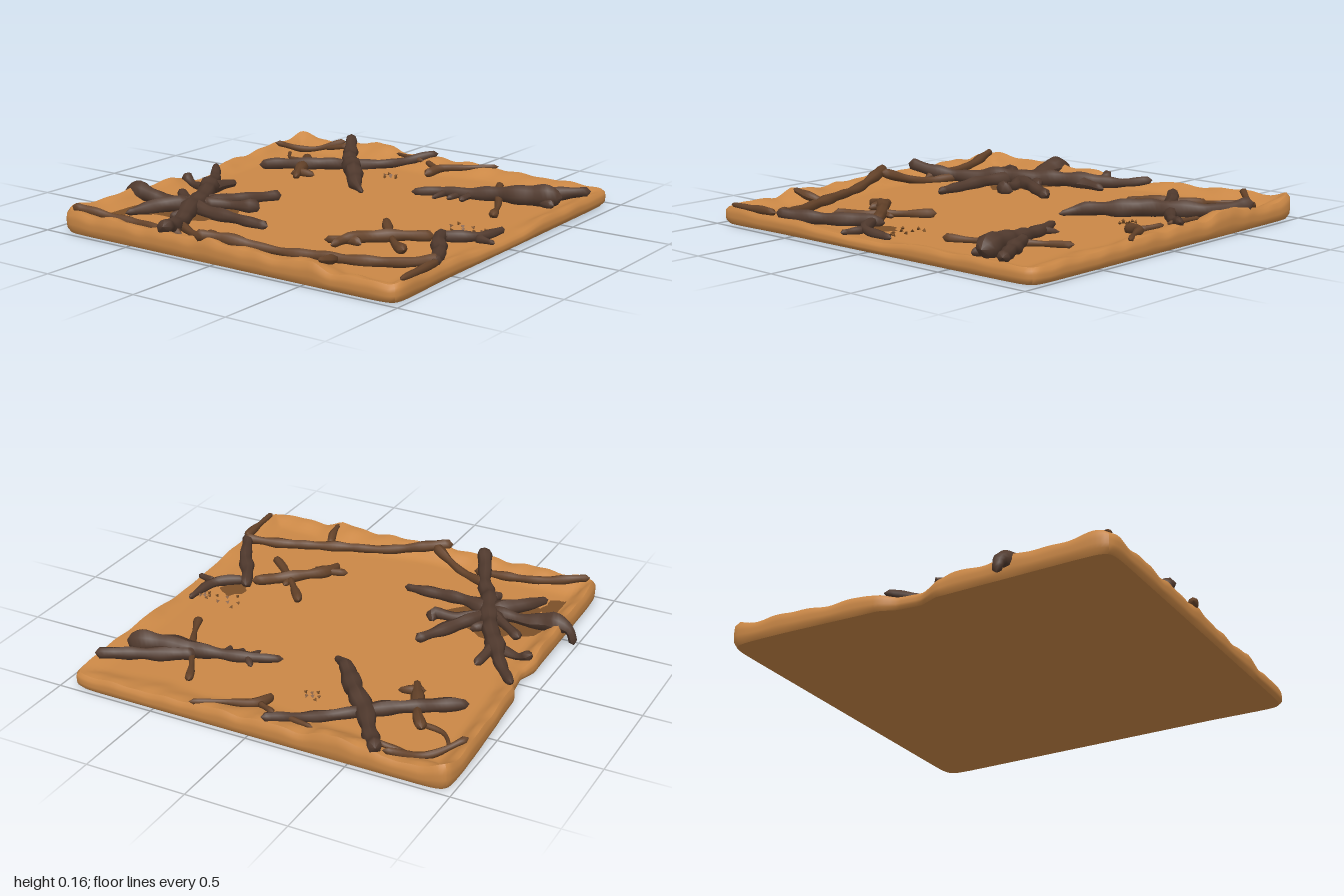
import * as THREE from 'three';

const FLOOR = 0.074;

// Piecewise linear lookup through [position, value] points
function lerpTable(points, t) {
  if (t <= points[0][0]) return points[0][1];
  for (let i = 1; i < points.length; i++) {
    const [a, va] = points[i - 1], [b, vb] = points[i];
    if (t <= b) return va + (vb - va) * (t - a) / (b - a);
  }
  return points[points.length - 1][1];
}

// Outline of the slab and rim height along each side
const backZ = [[-1, -0.92], [-0.12, -0.93], [-0.02, -0.895], [0.1, -0.91], [0.18, -0.945], [0.7, -0.98], [1, -0.99]];
const frontZ = [[-1, 0.99], [-0.6, 0.97], [1, 0.945]];
const leftRim = [[-0.95, 0.13], [-0.3, 0.125], [0, 0.135], [0.3, 0.115], [0.55, 0.13], [0.65, 0.105], [1, 0.11]];
const rightRim = [[-1, 0.15], [-0.85, 0.12], [-0.66, 0.11], [-0.6, 0.13], [-0.45, 0.152], [-0.3, 0.12], [-0.05, 0.12], [0.3, 0.115], [0.4, 0.105], [1, 0.1]];
const backRim = [[-1, 0.135], [-0.2, 0.125], [-0.05, 0.085], [0.1, 0.09], [0.25, 0.115], [0.8, 0.125], [1, 0.15]];
const frontRim = [[-1, 0.115], [-0.5, 0.1], [-0.1, 0.078], [0.1, 0.08], [0.3, 0.1], [0.7, 0.1], [1, 0.105]];
const leftWidth = [[-0.9, 0.13], [0, 0.1], [0.3, 0.17], [0.55, 0.2], [0.65, 0.1], [1, 0.08]];
const rightWidth = [[-1, 0.1], [-0.45, 0.16], [0, 0.2], [0.3, 0.12], [0.5, 0.17], [1, 0.07]];

function groundHeight(x, z) {
  const bump = (d, width, top) => {
    const t = Math.min(1, Math.max(0, d / width));
    return (top - FLOOR) * (1 - t * t * (3 - 2 * t));
  };
  const wrinkle = 1 + 0.12 * Math.sin(x * 17 + z * 23) + 0.08 * Math.sin(z * 41 - x * 29);
  return FLOOR + wrinkle * Math.max(
    bump(x + 0.96, lerpTable(leftWidth, z), lerpTable(leftRim, z)),
    bump(0.96 - x, lerpTable(rightWidth, z), lerpTable(rightRim, z)),
    bump(z - lerpTable(backZ, x) - 0.02, 0.09, lerpTable(backRim, x)),
    bump(lerpTable(frontZ, x) - z - 0.02, 0.09, lerpTable(frontRim, x)));
}

// Slab: a subdivided box fitted to the outline, its top lifted into rims
function makeSlab(material) {
  const geo = new THREE.BoxGeometry(2, 1, 2, 80, 5, 80);
  const p = geo.attributes.position;
  for (let i = 0; i < p.count; i++) {
    const u = p.getX(i), h = p.getY(i) + 0.5, v = p.getZ(i);
    const round = 1 - 0.022 * Math.pow(Math.abs(u * v), 24);
    const inset = 1 - 0.014 * Math.pow(Math.abs(h * 2 - 1), 4);
    const x = u * 0.993 * round * inset;
    const zb = lerpTable(backZ, u), zf = lerpTable(frontZ, u);
    const z = (zb + zf) / 2 + v * (zf - zb) / 2 * round * inset;
    p.setXYZ(i, x, 0.025 + h * (groundHeight(x, z) - 0.025), z);
  }
  geo.computeVertexNormals();
  const mesh = new THREE.Mesh(geo, material);
  mesh.name = 'groundSlab';
  return mesh;
}

// Knobbly tapered branch. Points are [x, z, radius, optional centre height]
function makeBranch(points, material, name, seed) {
  const centres = points.map(([x, z, r, y]) =>
    new THREE.Vector3(x, y ?? groundHeight(x, z) + r * 0.75, z));
  const curve = new THREE.CatmullRomCurve3(centres, false, 'centripetal');
  const length = curve.getLength();
  const rings = Math.max(8, Math.round(length * 45)), sides = 8;
  const geo = new THREE.TubeGeometry(curve, rings, 1, sides, false);
  const p = geo.attributes.position;
  const stops = [[0, points[0][2]]];
  let run = 0;
  for (let i = 1; i < points.length; i++) {
    run += centres[i].distanceTo(centres[i - 1]);
    stops.push([run, points[i][2]]);
  }
  const centre = new THREE.Vector3(), offset = new THREE.Vector3();
  for (let i = 0; i <= rings; i++) {
    const t = i / rings;
    curve.getPointAt(t, centre);
    const base = lerpTable(stops, t * run);
    const end = Math.min(t, 1 - t) * length / (base * 1.2);
    const cap = end >= 1 ? 1 : Math.sqrt(Math.max(0, 1 - (1 - end) ** 2));
    for (let j = 0; j <= sides; j++) {
      const k = i * (sides + 1) + j, a = (j % sides) / sides * Math.PI * 2;
      const knob = 1 + 0.1 * Math.sin(i * 0.9 + seed * 2.3) + 0.1 * Math.sin(a * 2 + i * 0.5 + seed);
      offset.fromBufferAttribute(p, k).sub(centre).multiplyScalar(base * cap * knob);
      p.setXYZ(k, centre.x + offset.x, centre.y + offset.y, centre.z + offset.z);
    }
  }
  geo.computeVertexNormals();
  const mesh = new THREE.Mesh(geo, material);
  mesh.name = name;
  return mesh;
}

// Thin irregular stain lying on the floor
function makePatch(x, z, rx, rz, material) {
  const outline = [];
  for (let i = 0; i < 28; i++) {
    const a = i / 28 * Math.PI * 2, k = 1 + 0.12 * Math.sin(a * 5 + 1) + 0.07 * Math.sin(a * 8);
    outline.push(new THREE.Vector2(Math.cos(a) * rx * k, Math.sin(a) * rz * k));
  }
  const mesh = new THREE.Mesh(new THREE.ShapeGeometry(new THREE.Shape(outline)), material);
  mesh.rotation.x = -Math.PI / 2;
  mesh.position.set(x, FLOOR + 0.004, z);
  mesh.name = 'soilPatch';
  return mesh;
}

export function createModel() {
  const flat = (name, color) => new THREE.MeshStandardMaterial({ name, color });
  const clay = flat('orange clay', 0xcb8846);
  const bark = flat('dark bark', 0x523b2f);
  const twig = flat('brown twig', 0x644229);
  const soil = flat('brown soil', 0x7c5028);

  const model = new THREE.Group();
  model.name = 'branchCoveredGround';
  model.add(makeSlab(clay));

  const clusters = {
    starBranches: [bark, [
      [[-0.47, -0.985, 0.02, 0.022], [-0.47, -0.955, 0.03, 0.1], [-0.475, -0.87, 0.055, 0.115], [-0.47, -0.74, 0.032], [-0.47, -0.54, 0.035]],
      [[-0.47, -0.54, 0.038], [-0.52, -0.4, 0.034], [-0.53, -0.2, 0.028], [-0.53, -0.04, 0.022]],
      [[-0.99, -0.28, 0.035], [-0.75, -0.39, 0.034], [-0.53, -0.51, 0.045], [-0.36, -0.58, 0.042], [-0.16, -0.7, 0.045], [0.0, -0.8, 0.03], [0.16, -0.92, 0.018]],
      [[-0.45, -0.54, 0.035], [-0.25, -0.44, 0.032], [-0.05, -0.33, 0.025]],
      [[-0.47, -0.54, 0.04], [-0.58, -0.65, 0.04], [-0.74, -0.74, 0.018]],
      [[-0.45, -0.56, 0.035], [-0.36, -0.69, 0.022], [-0.29, -0.77, 0.03]],
      [[-0.42, -0.53, 0.035], [-0.35, -0.42, 0.024], [-0.32, -0.3, 0.035], [-0.27, -0.32, 0.015]],
      [[-0.2, -0.69, 0.035], [-0.08, -0.69, 0.028], [0.03, -0.68, 0.016]],
      [[-0.11, -0.91, 0.03, 0.13], [-0.13, -0.83, 0.018], [-0.16, -0.7, 0.028]],
      [[-0.35, -0.58, 0.03], [-0.27, -0.52, 0.022]],
      [[-0.62, -0.48, 0.03], [-0.67, -0.52, 0.02]]]],
    leftBranches: [twig, [
      [[-0.95, -0.88, 0.022], [-0.88, -0.62, 0.022], [-0.86, -0.28, 0.02]],
      [[-0.74, -0.4, 0.022], [-0.84, -0.2, 0.02], [-0.93, -0.02, 0.025]],
      [[-0.99, -0.1, 0.025], [-0.92, 0.03, 0.03], [-0.86, 0.2, 0.022], [-0.77, 0.5, 0.026], [-0.68, 0.75, 0.025], [-0.59, 0.95, 0.026]],
      [[-0.95, 0.56, 0.012], [-0.86, 0.55, 0.022], [-0.77, 0.52, 0.02]],
      [[-0.93, 0.965, 0.012], [-0.62, 0.95, 0.022]]]],
    frontLeftLog: [bark, [
      [[-0.63, 0.94, 0.025], [-0.45, 0.85, 0.034], [-0.28, 0.74, 0.034], [-0.16, 0.68, 0.025]],
      [[-0.22, 0.7, 0.03], [-0.12, 0.84, 0.025], [0.08, 0.87, 0.016]],
      [[-0.13, 0.84, 0.02], [-0.16, 0.96, 0.013]]]],
    frontLeftTwigs: [twig, [
      [[-0.6, 0.37, 0.016], [-0.49, 0.39, 0.03], [-0.36, 0.51, 0.03], [-0.22, 0.68, 0.026]],
      [[-0.14, 0.36, 0.026], [-0.28, 0.47, 0.018], [-0.44, 0.62, 0.02], [-0.5, 0.7, 0.03]],
      [[-0.54, 0.29, 0.016], [-0.49, 0.42, 0.024], [-0.5, 0.47, 0.012]],
      [[-0.37, 0.52, 0.02], [-0.27, 0.52, 0.012]]]],
    frontRightLog: [bark, [
      [[0.4, 0.14, 0.018], [0.46, 0.26, 0.025], [0.53, 0.5, 0.035], [0.58, 0.7, 0.055], [0.63, 0.87, 0.05]],
      [[0.56, 0.52, 0.03], [0.66, 0.7, 0.035], [0.81, 0.93, 0.025]],
      [[0.37, 0.28, 0.01], [0.47, 0.29, 0.02], [0.53, 0.24, 0.01]],
      [[0.4, 0.35, 0.012], [0.5, 0.37, 0.02]],
      [[0.41, 0.42, 0.014], [0.51, 0.42, 0.02]],
      [[0.6, 0.75, 0.03], [0.56, 0.86, 0.02]]]],
    frontRightTwig: [twig, [
      [[0.24, 0.71, 0.022], [0.38, 0.65, 0.014], [0.53, 0.57, 0.02], [0.66, 0.49, 0.014], [0.78, 0.43, 0.022]]]],
    backRightLogs: [bark, [
      [[0.26, -0.06, 0.01], [0.34, -0.16, 0.034], [0.5, -0.28, 0.046], [0.66, -0.42, 0.045], [0.82, -0.53, 0.036], [0.985, -0.64, 0.032]],
      [[0.38, -0.81, 0.025], [0.47, -0.68, 0.034], [0.62, -0.46, 0.032], [0.78, -0.27, 0.026], [0.98, -0.07, 0.022]]]],
    backRightTwigs: [twig, [
      [[0.3, -0.51, 0.015], [0.42, -0.57, 0.03], [0.55, -0.63, 0.024], [0.67, -0.71, 0.028]],
      [[0.35, -0.58, 0.014], [0.38, -0.53, 0.024], [0.4, -0.46, 0.012]],
      [[0.62, -0.68, 0.015], [0.64, -0.8, 0.01], [0.74, -0.88, 0.01]],
      [[0.7, -0.95, 0.016], [0.84, -0.82, 0.016], [0.96, -0.66, 0.02]],
      [[0.9, -0.6, 0.018], [0.88, -0.75, 0.01]]]],
    rightTwigs: [twig, [
      [[0.72, 0.01, 0.02], [0.83, 0.04, 0.024], [0.9, 0.16, 0.014], [0.985, 0.3, 0.012]],
      [[0.82, 0.03, 0.018], [0.88, -0.08, 0.012]],
      [[0.88, -0.1, 0.014], [0.92, -0.3, 0.01]]]],
  };
  let seed = 1;
  for (const [name, [material, list]] of Object.entries(clusters)) {
    const group = new THREE.Group();
    group.name = name;
    for (const points of list) group.add(makeBranch(points, material, 'branch', seed++));
    model.add(group);
  }

  // Darker soil under the branches
  model.add(makePatch(-0.46, -0.58, 0.2, 0.24, soil));
  model.add(makePatch(-0.68, -0.8, 0.1, 0.06, soil));
  model.add(makePatch(-0.13, 0.73, 0.075, 0.065, soil));

  // Loose chips scattered on the floor
  const chips = new THREE.Group();
  chips.name = 'looseChips';
  const spots = [[0.0, 0.68, 0.09], [0.62, -0.14, 0.05], [0.0, 0.82, 0.04]];
  for (const [x, z, spread] of spots) {
    for (let i = 0; i < 7; i++) {
      const a = i * 2.4, d = spread * Math.sqrt((i + 0.5) / 7);
      const chip = new THREE.Mesh(new THREE.TetrahedronGeometry(0.012), soil);
      chip.name = 'chip';
      chip.position.set(x + Math.cos(a) * d * 0.8, FLOOR + 0.008, z + Math.sin(a) * d);
      chip.rotation.set(i, i * 1.7, i * 0.6);
      chips.add(chip);
    }
  }
  model.add(chips);
  return model;
}
